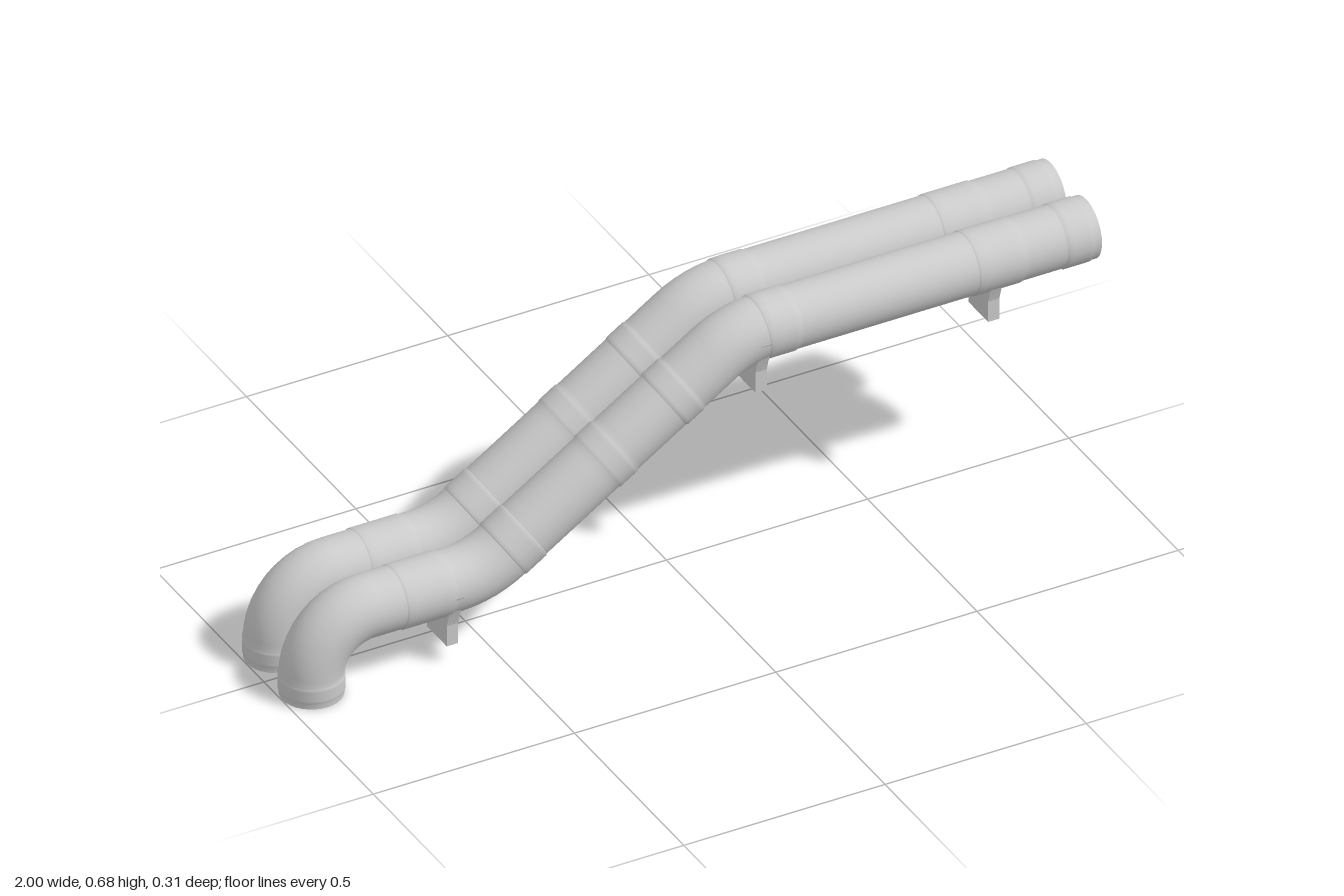
import * as THREE from 'three';

const R = 0.0725, COLLAR = 0.0748, ANGLE = Math.atan2(0.422, 0.64);

// Centre line of a pipe in the x-y plane: [length, total turn]
const BEND = 0.233 * ANGLE;
const SEGMENTS = [
  [0.05, 0], [0.132 * Math.PI / 2, -Math.PI / 2], [0.2135, 0],
  [BEND, ANGLE], [0.6267, 0], [BEND, -ANGLE], [0.80, 0],
];
// Raised joint sleeves: [start, end] along the centre line
const SLEEVES = [
  [0.015, 0.05], [0.33, 0.445], [0.61, 0.67], [0.89, 0.94],
  [1.09, 1.14], [1.35, 1.42], [1.87, 1.98], [2.09, 2.15],
];
const LENGTH = SEGMENTS.reduce((sum, [l]) => sum + l, 0);

// Point and heading at distance s along the centre line
function frameAt(s) {
  let x = -0.926, y = 0, h = Math.PI / 2;
  for (const [len, turn] of SEGMENTS) {
    const d = Math.min(s, len), t = turn * d / len;
    const chord = turn ? d * Math.sin(t / 2) / (t / 2 || 1) : d;
    const straight = t === 0 ? d : chord;
    x += straight * Math.cos(h + t / 2);
    y += straight * Math.sin(h + t / 2);
    h += t;
    s -= d;
    if (s <= 1e-9) break;
  }
  return { x, y, h };
}

// Radius profile with sleeves, turned as a straight pipe then bent along the line
function pipeGeometry() {
  const stations = [];
  for (let i = 0; i <= 100; i++) stations.push([LENGTH * i / 100, 0]);
  const inSleeve = s => SLEEVES.some(([a, b]) => s >= a - 0.002 && s <= b + 0.002);
  const profile = stations.filter(([s]) => !inSleeve(s)).map(([s]) => [s, R]);
  for (const [a, b] of SLEEVES) {
    profile.push([a - 0.002, R], [a, COLLAR]);
    for (let i = 1; i < 6; i++) profile.push([a + (b - a) * i / 6, COLLAR]);
    profile.push([b, COLLAR], [b + 0.002, R]);
  }
  profile.sort((p, q) => p[0] - q[0]);
  const geo = new THREE.LatheGeometry(profile.map(([s, r]) => new THREE.Vector2(r, s)), 32);
  const pos = geo.attributes.position, nor = geo.attributes.normal;
  for (let i = 0; i < pos.count; i++) {
    const { x, y, h } = frameAt(pos.getY(i));
    const c = Math.cos(h), s = Math.sin(h), px = pos.getX(i);
    pos.setXYZ(i, x + px * s, y - px * c, pos.getZ(i));
    const nx = nor.getX(i), ny = nor.getY(i);
    nor.setXYZ(i, nx * s + ny * c, -nx * c + ny * s, nor.getZ(i));
  }
  return geo;
}

// Saddle foot: a narrow block flaring up to cradle the pipe
function saddleGeometry() {
  const shape = new THREE.Shape();
  shape.moveTo(-0.045, -0.138);
  shape.lineTo(0.045, -0.138);
  shape.lineTo(0.045, -0.085);
  shape.quadraticCurveTo(0.052, -0.058, 0.0738, 0);
  shape.lineTo(0.0715, 0);
  shape.absarc(0, 0, 0.0715, 0, -Math.PI, true);
  shape.lineTo(-0.0738, 0);
  shape.quadraticCurveTo(-0.052, -0.058, -0.045, -0.085);
  const geo = new THREE.ExtrudeGeometry(shape, { depth: 0.028, bevelEnabled: false, curveSegments: 16 });
  return geo.translate(0, 0, -0.014).rotateY(Math.PI / 2);
}

export function createModel() {
  const model = new THREE.Group();
  model.name = 'twinPipes';
  const open = new THREE.MeshStandardMaterial({ color: 0xcccccc, side: THREE.DoubleSide });
  const solid = new THREE.MeshStandardMaterial({ color: 0xcccccc });
  const pipeGeo = pipeGeometry(), saddleGeo = saddleGeometry();

  for (const [side, z] of [['front', 0.081], ['back', -0.081]]) {
    const line = new THREE.Group();
    line.name = side + 'PipeLine';
    line.position.z = z;
    const pipe = new THREE.Mesh(pipeGeo, open);
    pipe.name = side + 'Pipe';
    line.add(pipe);
    // Feet under the level runs
    for (const [x, y] of [[-0.6, 0.182], [0.167, 0.603], [0.745, 0.604]]) {
      const foot = new THREE.Mesh(saddleGeo, solid);
      foot.name = side + 'Saddle';
      foot.position.set(x, y, 0);
      line.add(foot);
    }
    model.add(line);
  }
  return model;
}
